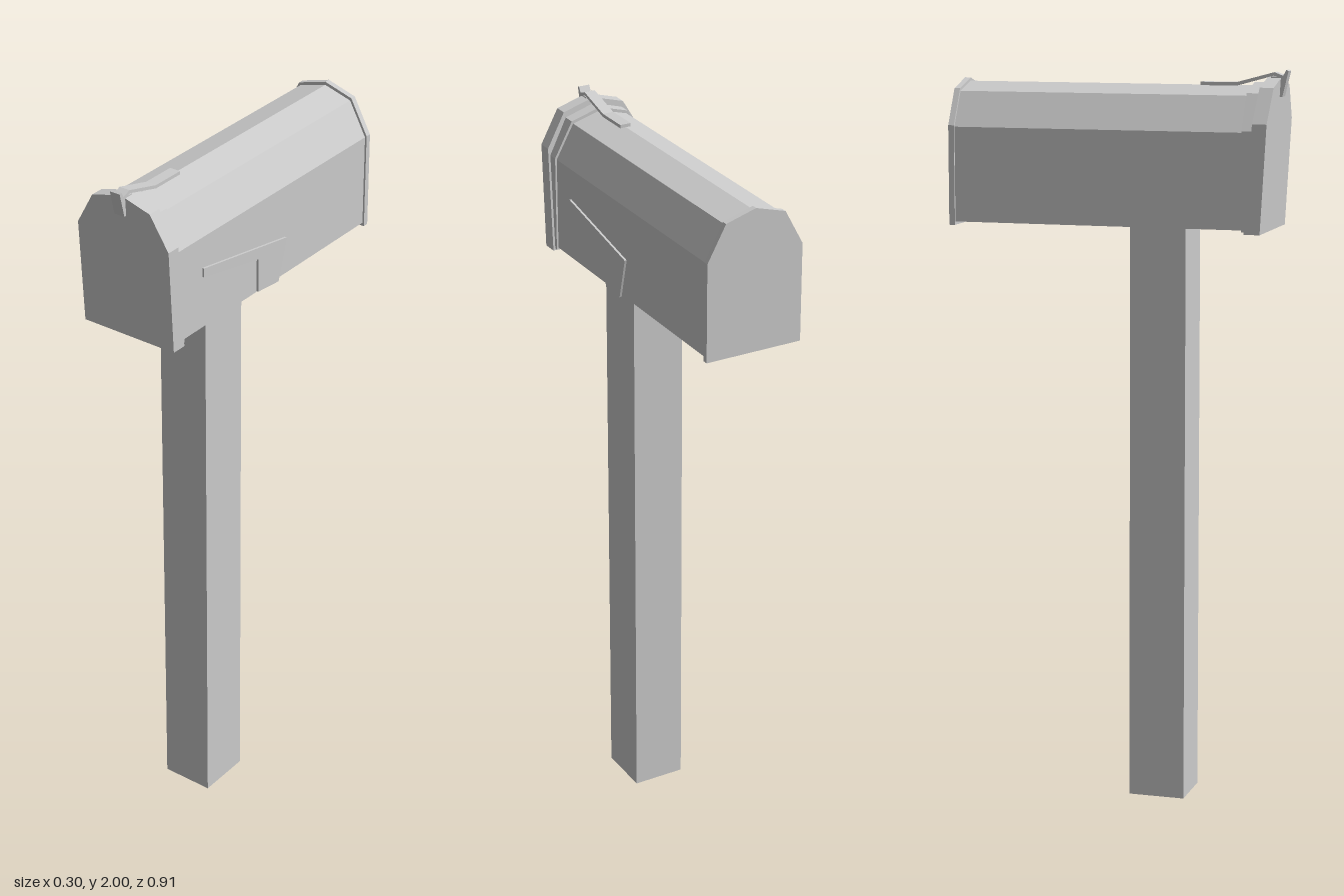
import * as THREE from 'three';

const CX = -0.005; // centre line of box and post

export function createModel() {
  const group = new THREE.Group();
  const grey = new THREE.MeshStandardMaterial({ color: 0xcccccc, flatShading: true });
  grey.name = 'plain grey';

  const add = (name, geometry) => {
    const mesh = new THREE.Mesh(geometry, grey);
    mesh.name = name;
    group.add(mesh);
    return mesh;
  };

  // Faceted arch section, extruded from z0 to z1
  const arch = (half, bottom, shoulder, slope, slopeY, peak, z0, z1) => {
    const shape = new THREE.Shape([
      [-half, bottom], [half, bottom], [half, shoulder], [slope, slopeY],
      [0, peak], [-slope, slopeY], [-half, shoulder],
    ].map(([x, y]) => new THREE.Vector2(x, y)));
    return new THREE.ExtrudeGeometry(shape, { depth: z1 - z0, bevelEnabled: false })
      .translate(CX, 0, z0);
  };

  // Side outline of [z, y] points, extruded across x about the origin
  const sidePlate = (points, width) => {
    const shape = new THREE.Shape(points.map(([z, y]) => new THREE.Vector2(z, y)));
    return new THREE.ExtrudeGeometry(shape, { depth: width, bevelEnabled: false })
      .rotateY(-Math.PI / 2).translate(width / 2, 0, 0);
  };

  // Move vertices by a rule
  const warp = (geometry, rule) => {
    const p = geometry.attributes.position;
    const v = new THREE.Vector3();
    for (let i = 0; i < p.count; i++) {
      rule(v.fromBufferAttribute(p, i));
      p.setXYZ(i, v.x, v.y, v.z);
    }
    geometry.computeVertexNormals();
    return geometry;
  };

  // Post
  add('post', new THREE.BoxGeometry(0.148, 1.59, 0.155).translate(CX + 0.001, 0.795, 0.1125));

  // Box and the raised rims at its ends
  add('boxBody', arch(0.132, 1.587, 1.842, 0.081, 1.935, 1.958, -0.45, 0.40));
  add('rearRim', arch(0.137, 1.578, 1.846, 0.085, 1.942, 1.967, -0.455, -0.439));
  add('frontRim', arch(0.137, 1.582, 1.846, 0.085, 1.942, 1.967, 0.357, 0.40));

  // Door, leaning forward towards the top
  add('door', warp(arch(0.143, 1.577, 1.865, 0.09, 1.957, 1.983, 0.366, 0.409), (v) => {
    const front = v.z > 0.39;
    v.z += (v.y - 1.577) * (front ? 0.056 : 0.07);
  }));

  // Flag, swinging slightly away from the side
  add('flag', warp(sidePlate([
    [0.276, 1.757], [0.276, 1.732], [0.058, 1.693], [0.058, 1.598],
    [-0.026, 1.593], [-0.058, 1.709],
  ], 0.006), (v) => {
    v.x += 0.13 + (0.276 - v.z) * 0.042;
  }));

  // Spring strip on the roof, hooking over the door
  add('latchStrip', sidePlate([
    [0.213, 1.957], [0.31, 1.957], [0.412, 1.985], [0.43, 1.978], [0.432, 1.95],
    [0.439, 1.95], [0.437, 1.985], [0.414, 1.994], [0.31, 1.966], [0.213, 1.966],
  ], 0.031).translate(CX, 0, 0));

  // Pull tab on the door
  add('doorTab', sidePlate([
    [0.405, 1.93], [0.436, 1.93], [0.452, 1.997], [0.446, 2.0], [0.436, 1.982], [0.405, 1.982],
  ], 0.031).translate(CX, 0, 0));

  return group;
}
